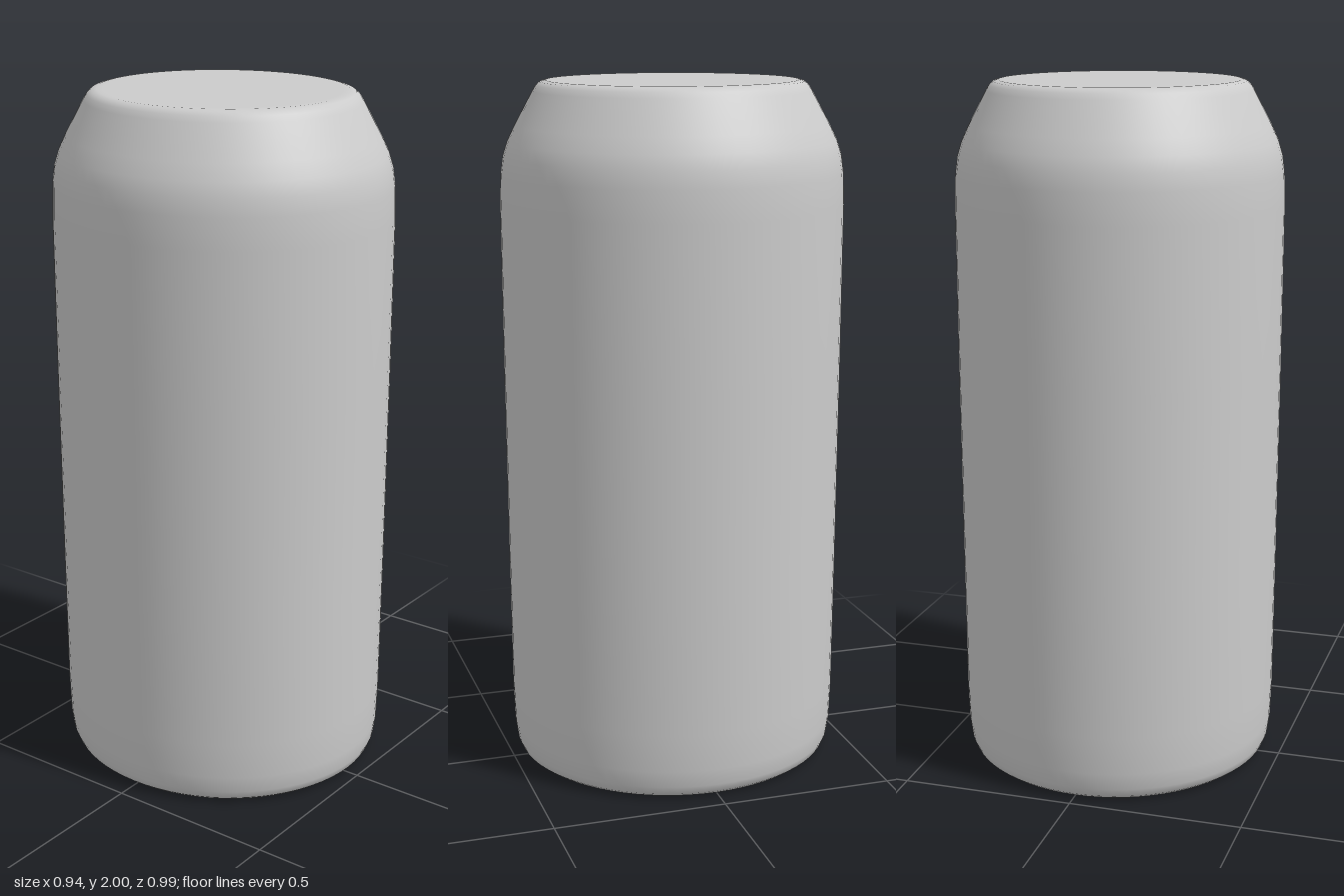
import * as THREE from 'three';

const WIDTH_RATIO = 0.95; // slightly narrower across x than along z

function lathe(name, profile) {
  const points = profile.map(([r, y]) => new THREE.Vector2(r, y));
  const geometry = new THREE.LatheGeometry(points, 72);
  geometry.scale(WIDTH_RATIO, 1, 1);
  const material = new THREE.MeshStandardMaterial({ color: 0xcccccc, side: THREE.DoubleSide });
  const mesh = new THREE.Mesh(geometry, material);
  mesh.name = name;
  return mesh;
}

export function createModel() {
  const group = new THREE.Group();
  group.name = 'can';

  // Outer shell: rounded foot, straight wall, tapered shoulder, flat lid
  group.add(lathe('outerShell', [
    [0.425, 0], [0.45, 0.003], [0.466, 0.015], [0.477, 0.04], [0.484, 0.09],
    [0.488, 0.2], [0.491, 0.6], [0.494, 1.2], [0.495, 1.65], [0.492, 1.74],
    [0.485, 1.79], [0.472, 1.83], [0.45, 1.875], [0.42, 1.93], [0.398, 1.97],
    [0.388, 1.986], [0.376, 1.996], [0.36, 2], [0.34, 2], [0, 2],
  ]));

  // Hollow inside: rounded lip, straight bore, closed under the lid
  group.add(lathe('innerCavity', [
    [0, 1.9], [0.29, 1.9], [0.33, 1.88], [0.36, 1.82], [0.38, 1.7],
    [0.38, 0.1], [0.384, 0.05], [0.395, 0.018], [0.41, 0.004], [0.425, 0],
  ]));

  return group;
}
